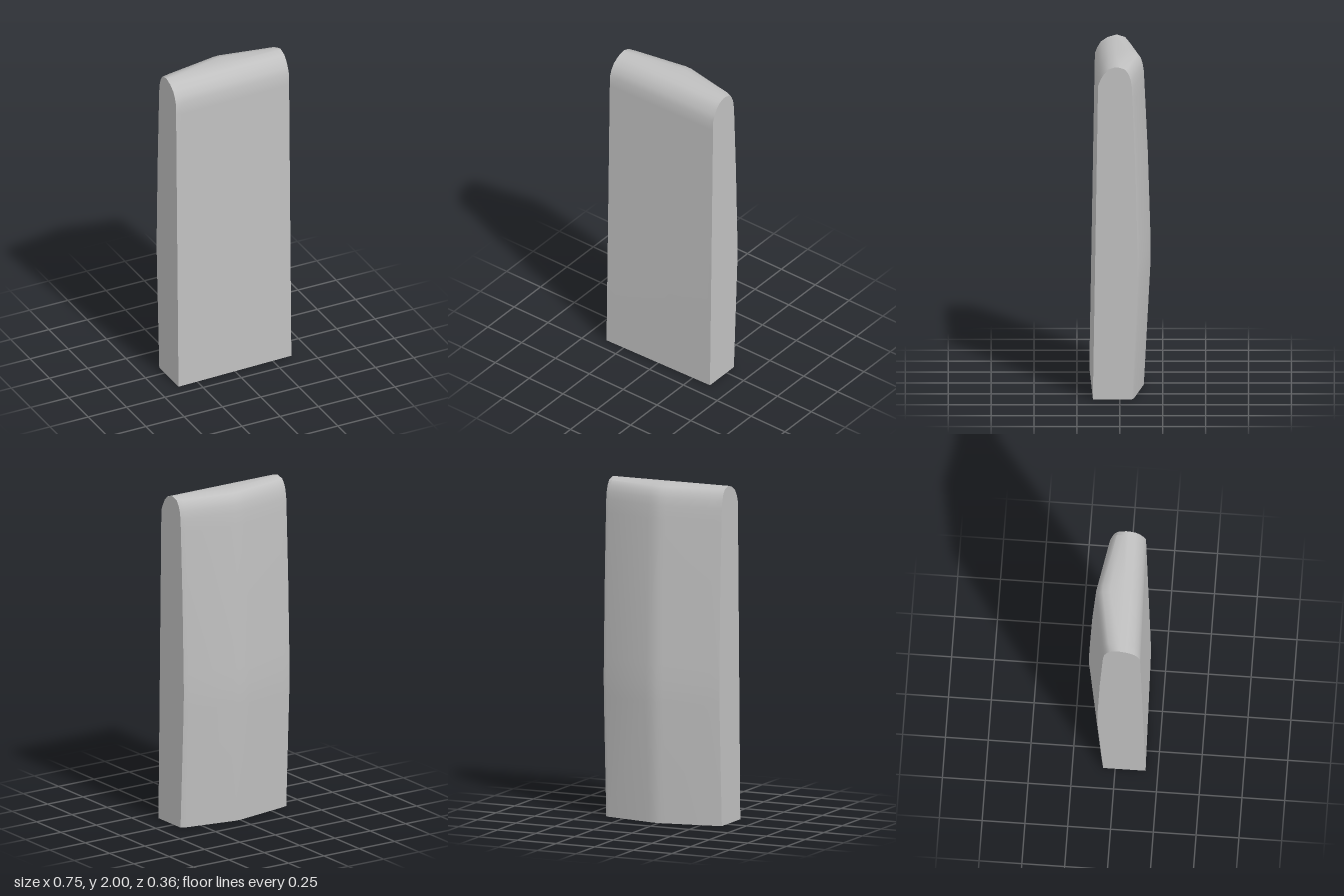
import * as THREE from 'three';
import { toCreasedNormals } from 'three/addons/utils/BufferGeometryUtils.js';

// Front half of the section, bottom to crest: [y, z at right end, z at left end]
const FRONT = [
  [0, 0.178, 0.157], [1.82, 0.147, 0.128], [1.89, 0.145, 0.126],
  [1.925, 0.132, 0.112], [1.96, 0.11, 0.092], [1.987, 0.07, 0.065], [2, 0.025, 0.025],
];
// Back half, crest to bottom: [y, z at the ends, z at the central ridge]
const BACK = [
  [2, 0.012, -0.055], [1.987, -0.03, -0.1], [1.96, -0.05, -0.122], [1.925, -0.063, -0.133],
  [1.88, -0.07, -0.14], [1.8, -0.074, -0.144], [1.4, -0.09, -0.163], [0.95, -0.102, -0.177],
  [0.83, -0.104, -0.18], [0.72, -0.102, -0.178], [0, -0.07, -0.14],
];
// Stations across the width: [x, how far the back swells towards the ridge]
const STATIONS = [[-0.374, 0], [-0.32, 0.18], [-0.04, 0.9], [-0.005, 1], [0.035, 1], [0.07, 0.91], [0.35, 0.18], [0.374, 0]];

function sectionAt([x, swell]) {
  const t = (x + 0.374) / 0.748;
  return [
    ...FRONT.map(([y, a, b]) => [x, y, a + (b - a) * t]),
    ...BACK.map(([y, end, mid]) => [x, y, end + (mid - end) * swell]),
  ];
}

function loftGeometry() {
  const rings = STATIONS.map(sectionAt);
  const n = rings[0].length;
  const pos = rings.flat(2);
  const index = [];
  // Skin, including the flat underside that closes each section
  for (let i = 0; i < rings.length - 1; i++) {
    for (let j = 0; j < n; j++) {
      const k = (j + 1) % n;
      const a = i * n + j, b = a + n, c = i * n + k, d = c + n;
      index.push(a, b, d, a, d, c);
    }
  }
  // Flat end caps
  [[0, false], [rings.length - 1, true]].forEach(([i, flip]) => {
    const centre = pos.length / 3;
    pos.push(rings[i][0][0], 1, 0.03);
    for (let j = 0; j < n; j++) {
      const a = i * n + j, b = i * n + (j + 1) % n;
      if (flip) index.push(centre, b, a);
      else index.push(centre, a, b);
    }
  });
  const geo = new THREE.BufferGeometry();
  geo.setAttribute('position', new THREE.Float32BufferAttribute(pos, 3));
  geo.setIndex(index);
  return toCreasedNormals(geo, 0.7);
}

export function createModel() {
  const group = new THREE.Group();
  group.name = 'roundedSlab';
  const grey = new THREE.MeshStandardMaterial({ color: 0xc0c0c0 });
  grey.name = 'light grey';
  const body = new THREE.Mesh(loftGeometry(), grey);
  body.name = 'slabBody';
  group.add(body);
  return group;
}
